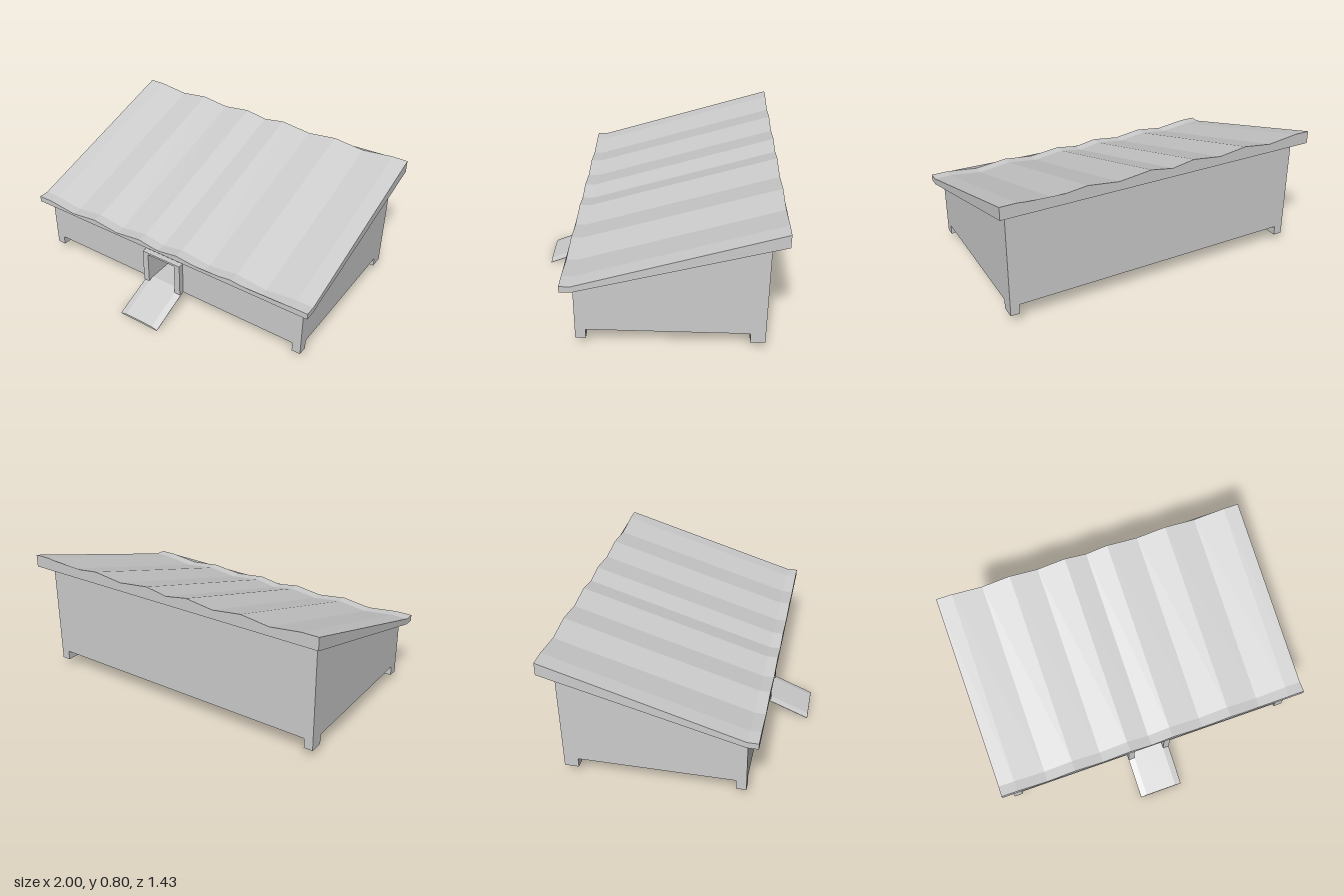
import * as THREE from 'three';

const material = new THREE.MeshStandardMaterial({ color: 0xcccccc, flatShading: true });

function toShape(points) {
  return new THREE.Shape(points.map(([x, y]) => new THREE.Vector2(x, y)));
}

function extrude(points, depth, steps = 1) {
  return new THREE.ExtrudeGeometry(toShape(points), { depth, steps, bevelEnabled: false });
}

// Extrudes a [z, y] side profile between two x positions.
function sideSlab(profile, x0, x1) {
  const g = extrude(profile.map(([z, y]) => [-z, y]), x1 - x0);
  return g.rotateY(Math.PI / 2).translate(x0, 0, 0);
}

// Moves every vertex by a rule that edits the vector in place.
function deform(geometry, rule) {
  const pos = geometry.attributes.position;
  const v = new THREE.Vector3();
  for (let i = 0; i < pos.count; i++) {
    rule(v.fromBufferAttribute(pos, i));
    pos.setXYZ(i, v.x, v.y, v.z);
  }
  geometry.computeVertexNormals();
  return geometry;
}

export function createModel() {
  const model = new THREE.Group();
  model.name = 'henHouse';
  const add = (name, geometry, parent = model) => {
    const mesh = new THREE.Mesh(geometry, material);
    mesh.name = name;
    parent.add(mesh);
  };

  const left = 0.945, right = -0.95, front = 0.44, back = -0.63;
  const floor = 0.115, eaves = 0.405, backTop = 0.695;
  const doorL = 0.07, doorR = -0.13, doorTop = 0.325, sill = 0.125, doorEnd = -0.1;

  // Body with a sloping top, split around the deep doorway
  const body = new THREE.Group();
  body.name = 'body';
  model.add(body);
  const solid = [[front, floor], [front, eaves], [back, backTop], [back, floor]];
  const notched = [
    [front, floor], [front, sill], [doorEnd, sill], [doorEnd, doorTop],
    [front, doorTop], [front, eaves], [back, backTop], [back, floor],
  ];
  add('rightBody', sideSlab(solid, right, doorR), body);
  add('doorwayBody', sideSlab(notched, doorR, doorL), body);
  add('leftBody', sideSlab(solid, doorL, left), body);

  // Short corner legs, deeper at the back
  const legW = 0.055, legH = 0.06;
  for (const [side, x] of [['Left', left - legW / 2], ['Right', right + legW / 2]]) {
    for (const [end, depth, z] of [['front', 0.06, front - 0.03], ['back', 0.085, back + 0.0425]]) {
      add(`${end}${side}Leg`, new THREE.BoxGeometry(legW, legH, depth).translate(x, floor - legH / 2, z));
    }
  }

  // Corrugated roof: wavy top, flat underside, level lip at the front
  const waveX = [-1, -0.9, -0.71, -0.53, -0.35, -0.17, -0.03, 0.11, 0.31, 0.5, 0.7, 0.9, 1];
  const wave = waveX.map((x, i) => [x, i > 0 && i < 12 && i % 2 === 0 ? -0.023 : 0]);
  const stations = [
    { z: -0.715, under: 0.72, top: 0.797 },
    { z: 0.44, under: eaves, top: 0.443 },
    { z: 0.505, under: eaves, top: 0.443 },
  ];
  const roof = extrude([[-1, -1], [1, -1], ...wave.reverse()], 2, 2);
  add('roof', deform(roof, (v) => {
    const s = stations[Math.round(v.z)];
    v.y = v.y < -0.5 ? s.under : s.top + v.y;
    v.z = s.z;
  }));

  // Door frame
  const frame = extrude([
    [-0.17, floor], [doorR, floor], [doorR, doorTop], [doorL, doorTop],
    [doorL, floor], [0.11, floor], [0.11, 0.338], [-0.17, 0.338],
  ], 0.035);
  add('doorFrame', frame.translate(0, 0, front));

  // Ramp with chamfered edges, sheared down to the ground
  const ramp = extrude([
    [-0.17, 0], [0.11, 0], [0.11, 0.003], [doorL, 0.013], [doorR, 0.013], [-0.17, 0.003],
  ], 0.275);
  add('ramp', deform(ramp, (v) => {
    v.y += floor * (1 - v.z / 0.275);
    v.z += front;
  }));

  return model;
}
